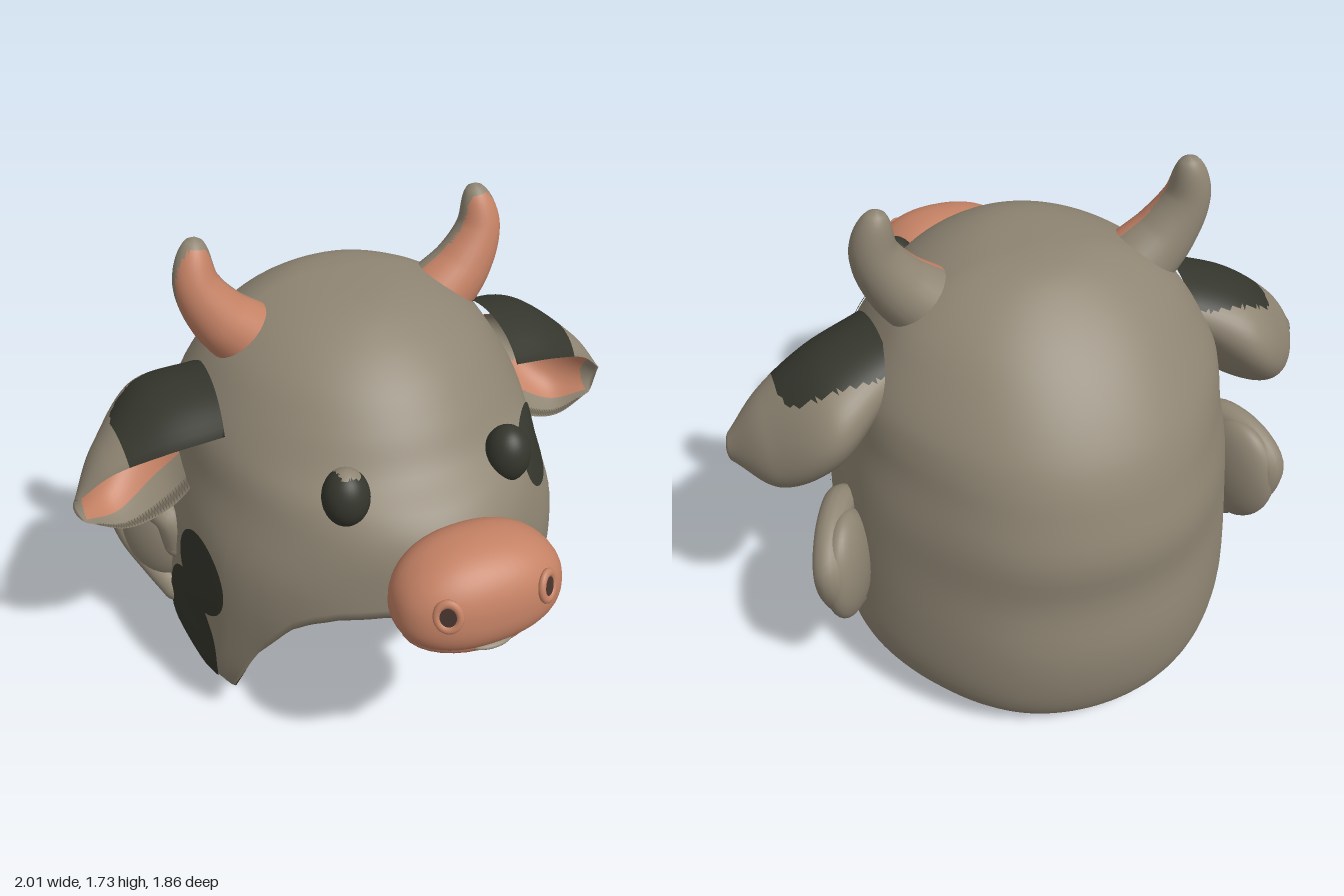
import * as THREE from 'three';
import { mergeVertices } from 'three/addons/utils/BufferGeometryUtils.js';

const material = (name, color) => {
  const m = new THREE.MeshStandardMaterial({ color });
  m.name = name;
  return m;
};
const V = (x, y, z) => new THREE.Vector3(x, y, z);
const spline = (pts) => new THREE.CatmullRomCurve3(pts.map((p) => V(...p)));
const { smoothstep } = THREE.MathUtils;

// Smooth surface from a function of u and v, both 0..1
function grid(nu, nv, fn, flip = false) {
  const pos = [], idx = [];
  for (let j = 0; j <= nv; j++)
    for (let i = 0; i <= nu; i++) pos.push(...fn(i / nu, j / nv).toArray());
  for (let j = 0; j < nv; j++)
    for (let i = 0; i < nu; i++) {
      const a = j * (nu + 1) + i, b = a + 1, c = a + nu + 1, d = c + 1;
      if (flip) idx.push(a, b, c, b, d, c);
      else idx.push(a, c, b, b, c, d);
    }
  const geo = new THREE.BufferGeometry();
  geo.setAttribute('position', new THREE.Float32BufferAttribute(pos, 3));
  geo.setIndex(idx);
  const merged = mergeVertices(geo);
  merged.computeVertexNormals();
  return merged;
}

// Sort faces into material groups: pick(centre, row) returns a material number
function paint(geo, rowLength, count, pick) {
  const p = geo.attributes.position, src = geo.index.array;
  const lists = Array.from({ length: count }, () => []);
  const c = V(0, 0, 0), q = V(0, 0, 0);
  for (let t = 0; t < src.length; t += 3) {
    c.set(0, 0, 0);
    for (let k = 0; k < 3; k++) c.add(q.fromBufferAttribute(p, src[t + k]));
    c.divideScalar(3);
    lists[pick(c, Math.floor(t / 3 / (2 * rowLength)))].push(src[t], src[t + 1], src[t + 2]);
  }
  geo.setIndex(lists.flat());
  let start = 0;
  lists.forEach((l, i) => {
    geo.addGroup(start, l.length, i);
    start += l.length;
  });
  return geo;
}

// Hood levels: height, half width, back z, front z
const LEVELS = [
  [1.52, 0, -0.25, -0.25], [1.505, 0.17, -0.38, 0], [1.45, 0.32, -0.49, 0.15],
  [1.36, 0.44, -0.61, 0.28], [1.25, 0.52, -0.72, 0.38], [1.14, 0.58, -0.805, 0.46],
  [1.05, 0.6, -0.855, 0.57], [0.95, 0.61, -0.89, 0.63], [0.8, 0.64, -0.925, 0.64],
  [0.62, 0.665, -0.91, 0.63], [0.42, 0.68, -0.93, 0.58], [0.25, 0.69, -0.915, 0.53],
  [0.13, 0.66, -0.88, 0.45], [0.05, 0.57, -0.83, 0.33], [0, 0.42, -0.76, 0.1],
];
const sizeCurve = new THREE.SplineCurve(LEVELS.map((l) => new THREE.Vector2(l[0], l[1])));
const depthCurve = new THREE.SplineCurve(LEVELS.map((l) => new THREE.Vector2(l[2], l[3])));
const ZC = -0.25;

// Curve parameter at a given height
function levelAt(y) {
  let lo = 0, hi = 1;
  for (let i = 0; i < 20; i++) {
    const m = (lo + hi) / 2;
    if (sizeCurve.getPoint(m).x > y) lo = m;
    else hi = m;
  }
  return hi;
}

// Height of the open rim by angle from the front, in degrees
const RIM = [[0, 0.74], [20, 0.73], [30, 0.71], [37, 0.67], [42, 0.62], [51, 0.43], [56, 0.26],
  [61, 0.12], [72, 0.045], [90, 0.02], [120, 0], [181, 0]];
function rimLevel(angle) {
  const d = Math.min(angle, Math.PI * 2 - angle) * 180 / Math.PI;
  const k = RIM.findIndex((r) => r[0] > d);
  const [a, b] = [RIM[k - 1], RIM[k]];
  return levelAt(a[1] + (b[1] - a[1]) * (d - a[0]) / (b[0] - a[0]));
}

// Point on the outer wall at an angle and a share w of the way from crown to rim
function wallPoint(a, w, s) {
  const size = sizeCurve.getPoint(s), depth = depthCurve.getPoint(s), c = Math.cos(a);
  const lip = 1 - 0.09 * w ** 6 * Math.sin(a) ** 2;
  // fuller cheeks in front, leaner corners behind
  const full = 1 + Math.sin(2 * a) ** 2 * (c > 0 ? 0.1 * (1 - smoothstep(size.x, 0.75, 1.05)) : -0.06);
  return V(size.y * Math.sin(a) * lip * full, size.x, ZC + c * (c > 0 ? depth.y - ZC : ZC - depth.x));
}

// Outer wall runs crown to rim, inner wall returns to the crown, thicker around the neck
function hoodPoint(u, v) {
  const a = (u % 1) * Math.PI * 2, w = v <= 0.5 ? v * 2 : 2 - v * 2;
  const p = wallPoint(a, w, w * rimLevel(a));
  if (v > 0.5) {
    const k = 1 - w ** 10, narrow = 0.32 - 0.18 * smoothstep(p.y, 0.3, 0.75);
    p.set(p.x * (1 - narrow * k), p.y + (0.6 - p.y) * 0.1 * k, p.z + (-0.2 - p.z) * 0.1 * k);
  }
  return p;
}

// Coat spots: side, z, y, z radius, y radius, tilt
const SPOTS = [
  [1, 0.29, 1.015, 0.155, 0.1, 0.3], [1, 0.15, 0.58, 0.115, 0.14, 0.15], [1, -0.08, 0.31, 0.15, 0.155, 0],
  [1, 0.015, 1.03, 0.045, 0.05, 0], [-1, 0.02, 0.63, 0.16, 0.15, 0], [-1, -0.08, 0.33, 0.19, 0.23, 0],
];
function spotGeometry([side, z0, y0, rz, ry, tilt]) {
  return grid(48, 12, (u, v) => {
    const e = rz * v * Math.cos(u * Math.PI * 2), f = ry * v * Math.sin(u * Math.PI * 2);
    const z = z0 + e * Math.cos(tilt) + f * Math.sin(tilt);
    const s = levelAt(y0 + f * Math.cos(tilt) - e * Math.sin(tilt));
    const depth = depthCurve.getPoint(s);
    const a = Math.acos(Math.min(1, (z - ZC) / (z > ZC ? depth.y - ZC : ZC - depth.x)));
    const p = wallPoint(a, Math.min(1, s / rimLevel(a)), s);
    return p.set(side * p.x * 1.009, p.y, ZC + (p.z - ZC) * 1.009);
  }, side > 0);
}

export function createModel() {
  const group = new THREE.Group();
  const grey = material('coat grey', 0x8f8573);
  const dark = material('spot black', 0x35362d);
  const pink = material('skin pink', 0xc58265);
  const brown = material('lining brown', 0x46342d);
  const add = (name, geo, mat, x = 0, y = 0, z = 0) => {
    const m = new THREE.Mesh(geo, mat);
    m.name = name;
    m.position.set(x, y, z);
    group.add(m);
    return m;
  };

  // Hollow hood with a stained lining at the cheeks
  add('hood', paint(grid(200, 100, hoodPoint), 200, 2, (c, row) => {
    if (row < 50) return c.y < 0.085 && c.z > -0.33 && c.z < 0.04 ? 1 : 0;
    return c.z > -0.35 && c.y < (c.x < 0 ? 0.6 : 0.4) && Math.abs(c.x) > 0.3 ? 1 : 0;
  }), [grey, brown]);
  for (const s of SPOTS) add('coatSpot', spotGeometry(s), dark);

  // Muzzle: rounded form made from a sphere, wider and further forward below
  const blob = new THREE.SphereGeometry(1, 48, 32);
  blob.deleteAttribute('uv');
  blob.deleteAttribute('normal');
  const bp = blob.attributes.position;
  const puff = (t) => Math.sign(t) * Math.abs(t) ** 0.87;
  for (let i = 0; i < bp.count; i++) {
    const y = bp.getY(i);
    bp.setXYZ(i, (0.275 - 0.025 * y) * puff(bp.getX(i)), 0.172 * puff(y), 0.172 * puff(bp.getZ(i)) - 0.015 * y);
  }
  const muzzleGeo = mergeVertices(blob);
  muzzleGeo.computeVertexNormals();
  add('muzzle', muzzleGeo, pink, 0, 0.93, 0.757);
  const ball = new THREE.SphereGeometry(1, 32, 24);
  add('lowerLip', ball, pink, 0, 0.8, 0.74).scale.set(0.235, 0.08, 0.148);
  add('tongue', ball, grey, 0, 0.787, 0.865).scale.set(0.07, 0.014, 0.035);

  for (const s of [1, -1]) {
    const side = s > 0 ? 'left' : 'right';

    // Eyes, one with a pale glint on top
    const eye = grid(32, 24, (u, v) => {
      const a = u * Math.PI * 2, b = v * Math.PI;
      return V(0.075 * Math.sin(b) * Math.sin(a), 0.098 * Math.cos(b), 0.078 * Math.sin(b) * Math.cos(a));
    });
    add(side + 'Eye', paint(eye, 32, 2, (c) => (s < 0 && c.y > 0.075 && c.x > -0.025 && c.z < 0.035 ? 0 : 1)),
      [grey, dark], s * 0.28, 1.115, 0.43);

    // Nostrils
    const nostril = new THREE.Group();
    nostril.name = side + 'Nostril';
    const ring = new THREE.Mesh(new THREE.TorusGeometry(0.035, 0.012, 10, 28), pink);
    const hole = new THREE.Mesh(new THREE.CircleGeometry(0.026, 28), brown);
    hole.position.z = 0.007;
    nostril.add(ring, hole);
    nostril.scale.y = 1.2;
    nostril.position.set(s * 0.165, 0.965, 0.895);
    nostril.rotation.set(-0.25, s * 0.55, 0);
    group.add(nostril);

    // Horns: tapered sections along a curve
    const path = spline([[0.33, 1.345, -0.21], [0.44, 1.455, -0.21], [0.502, 1.58, -0.22], [0.49, 1.728, -0.24]]);
    const horn = grid(28, 32, (u, v) => {
      const a = u * Math.PI * 2, c = path.getPoint(v), t = path.getTangent(v);
      const r = (0.125 - 0.073 * v) * Math.sqrt(Math.max(0, 1 - v ** 10));
      c.add(V(t.y, -t.x, 0).multiplyScalar(r * Math.cos(a)));
      c.z += r * Math.sin(a);
      c.x *= s;
      return c;
    }, s < 0);
    add(side + 'Horn', paint(horn, 28, 3, (c, row) => {
      if (s > 0 && c.y < 1.35 && c.x > 0.4 && c.z > -0.22) return 1;
      return c.z > -0.205 && row < 30 ? 2 : 0;
    }), [grey, dark, pink]);

    // Floppy ears: cupped shell between an upper and a lower edge
    const edge = [
      spline([[0.53, 1.17, 0.05], [0.72, 1.12, 0], [0.88, 1.05, -0.06], [0.99, 0.95, -0.11]]),
      spline([[0.5, 1.46, -0.1], [0.72, 1.41, -0.16], [0.9, 1.22, -0.2], [1.01, 0.94, -0.15]]),
      spline([[0.48, 1.16, -0.7], [0.7, 1.06, -0.86], [0.9, 0.83, -0.56], [1.01, 0.86, -0.16]]),
      spline([[0.53, 1.02, -0.08], [0.67, 0.83, -0.12], [0.83, 0.775, -0.13], [0.97, 0.84, -0.13]]),
    ];
    const ear = grid(48, 64, (u, v) => {
      const [p0, p1, p2, p3] = edge.map((e) => e.getPoint(u));
      const t = v <= 0.5 ? v * 2 : 2 - v * 2;
      const p = new THREE.CubicBezierCurve3(p0, p1, p2, p3).getPoint(t);
      if (v > 0.5) p.lerp(p0.clone().lerp(p3, t), 0.22 * (1 - u ** 8));
      p.x *= s;
      return p;
    }, s > 0);
    add(side + 'Ear', paint(ear, 48, 3, (c, row) => {
      const x = Math.abs(c.x);
      if (row < 32)
        return c.y > 1.06 && row < 20 && ((x - 0.62) / 0.21) ** 2 + ((c.z + 0.15) / 0.21) ** 4 < 1 ? 1 : 0;
      if (Math.hypot(x - 0.63, c.y - 1.01) < 0.045) return 1;
      const inside = row > 34 && row < 61 && x < 0.965;
      return inside && (x < 0.6 || c.y < 0.92 + 0.4 * Math.abs(x - 0.77)) ? 2 : 0;
    }), [grey, dark, pink]);

    // Small side ears: filled lobe with a rolled rim
    const rim = spline([[0.64, 0.56, -0.25], [0.67, 0.69, -0.25], [0.735, 0.69, -0.37], [0.775, 0.61, -0.475],
      [0.755, 0.49, -0.46], [0.7, 0.39, -0.38], [0.655, 0.33, -0.29]].map(([x, y, z]) => [s * x, y, z]));
    add(side + 'SideEarRim', new THREE.TubeGeometry(rim, 48, 0.053, 14), grey);
    const lobe = add(side + 'SideEarLobe', ball, grey, s * 0.7, 0.54, -0.39);
    lobe.scale.set(0.075, 0.2, 0.155);
    lobe.rotation.y = -s * 0.5;
    for (const t of [0, 1]) {
      const p = rim.getPoint(t);
      add(side + 'SideEarTip', ball, grey, p.x, p.y, p.z).scale.setScalar(0.053);
    }
  }
  return group;
}
